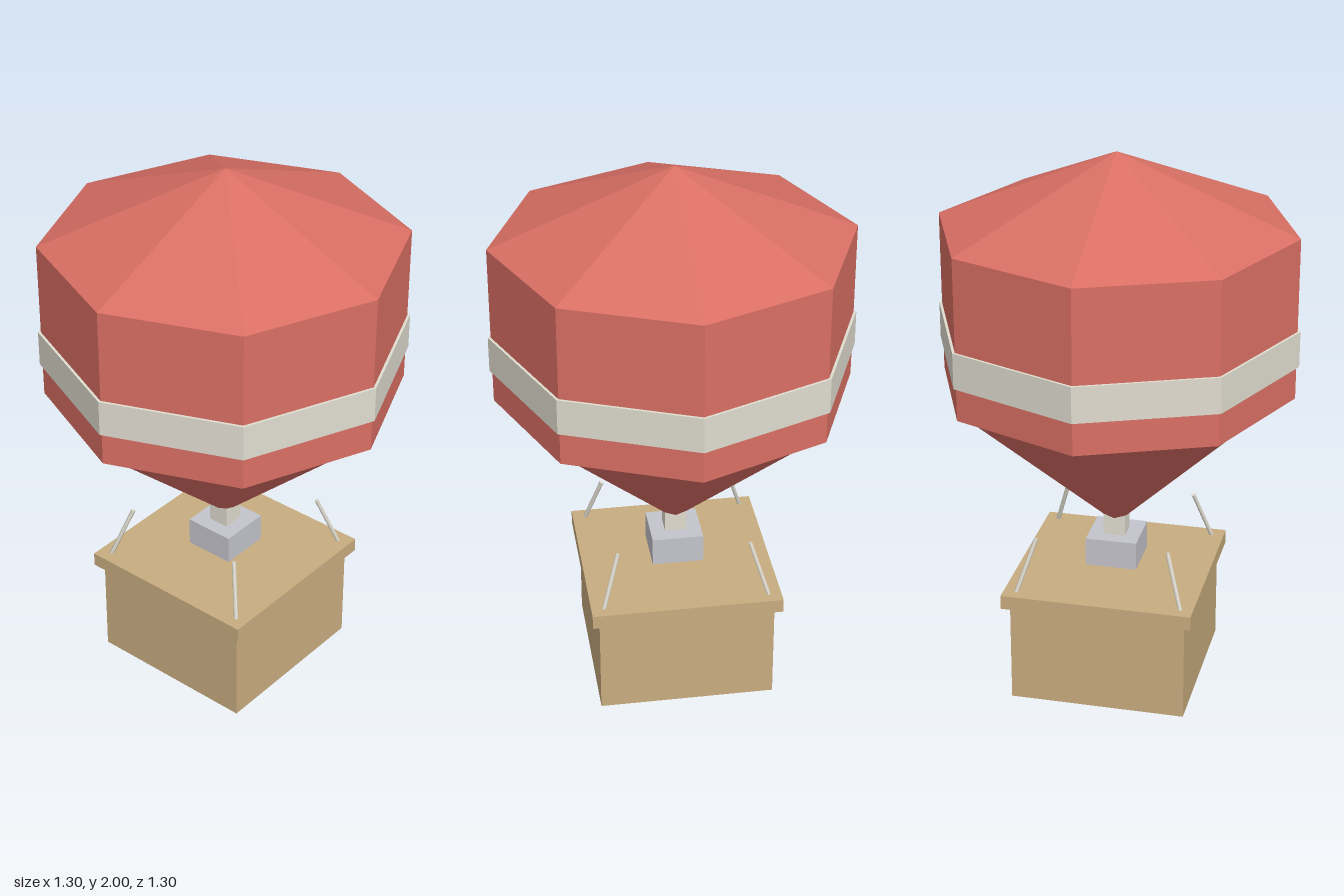
import * as THREE from 'three';

const paint = (name, color) => {
  const m = new THREE.MeshStandardMaterial({ color });
  m.name = name;
  return m;
};

export function createModel() {
  const red = paint('balloon red', 0xd96f64);
  const cream = paint('cream', 0xe0dcd0);
  const tan = paint('wicker tan', 0xc8ac7f);
  const grey = paint('burner grey', 0xc4c4cc);

  const group = new THREE.Group();
  const add = (name, geometry, material, y = 0) => {
    const mesh = new THREE.Mesh(geometry, material);
    mesh.name = name;
    mesh.position.y = y;
    group.add(mesh);
    return mesh;
  };

  // Faceted ring, cone or drum standing between two heights
  const facet = (name, rTop, rBottom, y0, y1, material, sides = 8) => {
    const g = new THREE.CylinderGeometry(rTop, rBottom, y1 - y0, sides).toNonIndexed();
    g.computeVertexNormals();
    return add(name, g, material, (y0 + y1) / 2);
  };
  const box = (name, width, y0, y1, material) =>
    add(name, new THREE.BoxGeometry(width, y1 - y0, width), material, (y0 + y1) / 2);

  // Envelope
  facet('envelopeCrown', 0, 0.64, 1.735, 2, red);
  facet('envelopeBody', 0.64, 0.64, 1.15, 1.735, red);
  facet('envelopeBand', 0.65, 0.65, 1.27, 1.4, cream);
  facet('envelopeFunnel', 0.607, 0, 0.592, 1.15, red);

  // Burner
  box('burnerNeck', 0.08, 0.56, 0.66, cream);
  box('burner', 0.188, 0.456, 0.562, grey);

  // Basket
  box('basket', 0.64, 0, 0.376, tan);
  box('basketRim', 0.694, 0.376, 0.428, tan);

  // Short ropes leaning inward from the basket corners
  const up = new THREE.Vector3(0, 1, 0);
  for (const sx of [-1, 1]) {
    for (const sz of [-1, 1]) {
      const foot = new THREE.Vector3(sx * 0.304, 0.415, sz * 0.304);
      const tip = new THREE.Vector3(sx * 0.24, 0.618, sz * 0.24);
      const dir = tip.clone().sub(foot);
      const rope = add('rope', new THREE.CylinderGeometry(0.008, 0.008, dir.length(), 6), cream);
      rope.position.copy(foot).add(tip).multiplyScalar(0.5);
      rope.quaternion.setFromUnitVectors(up, dir.normalize());
    }
  }
  return group;
}
